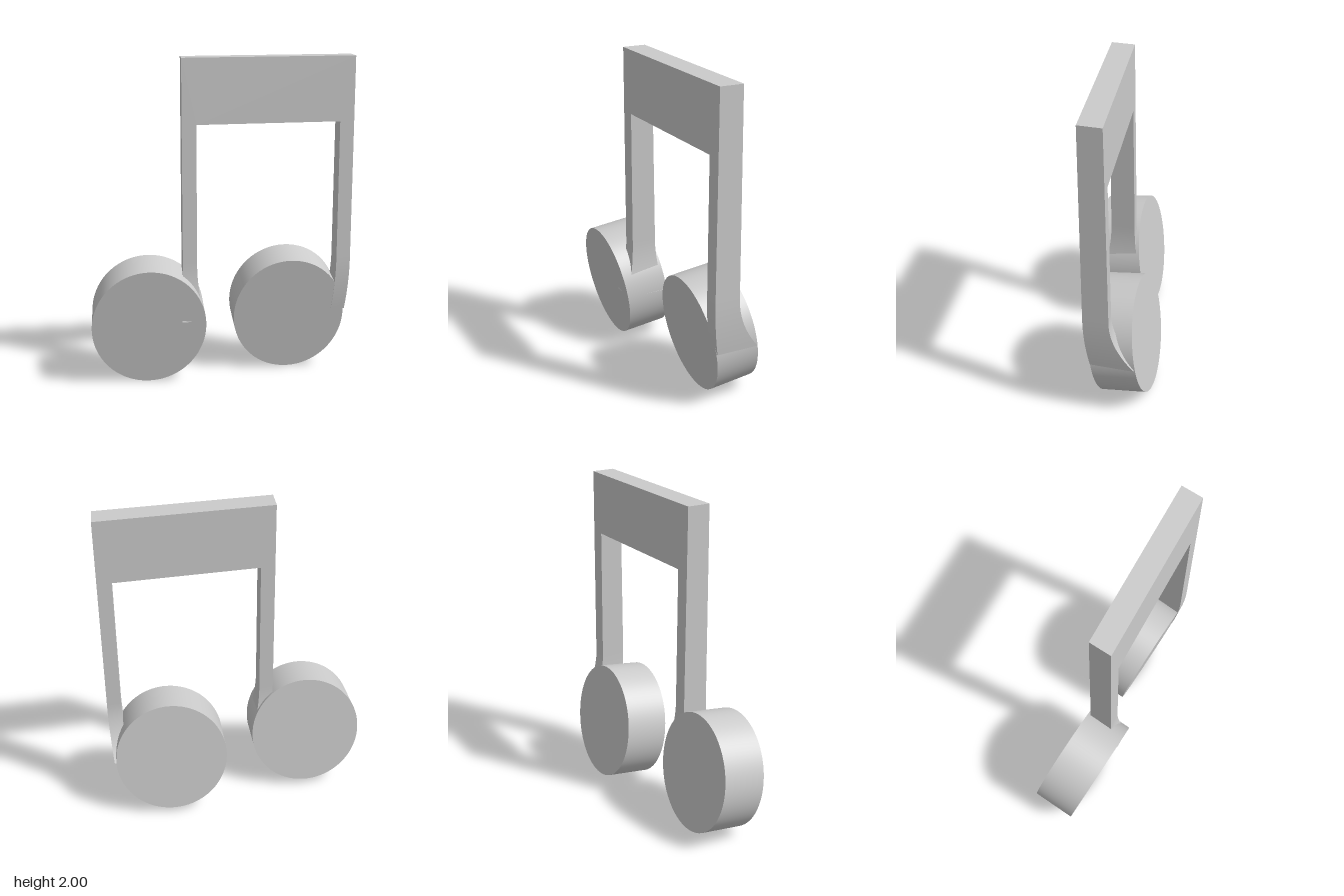
import * as THREE from 'three';

const material = new THREE.MeshStandardMaterial({ color: 0xcccccc });
const lerp = THREE.MathUtils.lerp;

function addMesh(group, name, geometry) {
  const mesh = new THREE.Mesh(geometry, material);
  mesh.name = name;
  group.add(mesh);
}

// Sideways lean shared by the frame and the stem bases
const lean = (x, z) => x - 0.09 * (z - 0.08);

// Moves every vertex of a geometry by a rule
function reshape(geometry, rule) {
  const p = geometry.attributes.position;
  for (let i = 0; i < p.count; i++) p.setXYZ(i, ...rule(p.getX(i), p.getY(i), p.getZ(i)));
  geometry.computeVertexNormals();
  return geometry;
}

// Beam and two stems in one outline
function frameGeometry() {
  const shape = new THREE.Shape([
    [-0.25, 2], [-0.25, 0.75], [-0.162, 0.75], [-0.162, 1.605],
    [0.722, 1.605], [0.722, 0.75], [0.81, 0.75], [0.81, 2],
  ].map(([x, y]) => new THREE.Vector2(x, y)));
  const g = new THREE.ExtrudeGeometry(shape, { depth: 1, bevelEnabled: false });
  return reshape(g, (x, y, t) => {
    const z = lerp(0.015 - 0.012 * (2 - y), 0.155, t);
    return [lean(x, z), y, z];
  });
}

// Tilted oval drum, given the centre of its front face
function headGeometry(x, y, z) {
  const rx = 0.349, ry = 0.367;
  const axis = new THREE.Vector3(-0.022, -0.035, 0.268);
  const matrix = new THREE.Matrix4().makeBasis(
    new THREE.Vector3(rx, 0, 0.07 * rx),
    axis,
    new THREE.Vector3(0, -ry, -0.148 * ry),
  );
  matrix.setPosition(new THREE.Vector3(x, y, z).addScaledVector(axis, -0.5));
  return new THREE.CylinderGeometry(1, 1, 1, 96).applyMatrix4(matrix);
}

// Stem foot flaring into the drum; top and bottom are [x0, x1, z0, z1]
function flareGeometry(top, bottom) {
  return reshape(new THREE.BoxGeometry(1, 1, 1, 1, 14, 1), (bx, by, bz) => {
    const t = 0.5 - by;
    const [x0, x1, z0, z1] = top.map((v, i) => lerp(v, bottom[i], t * t));
    const z = bz < 0 ? z0 : z1;
    return [lean(bx < 0 ? x0 : x1, z), lerp(0.75, 0.4, t), z];
  });
}

export function createModel() {
  const group = new THREE.Group();
  group.name = 'beamedNotes';
  addMesh(group, 'beamAndStems', frameGeometry());
  addMesh(group, 'rightNoteHead', headGeometry(-0.472, 0.372, 0.19));
  addMesh(group, 'leftNoteHead', headGeometry(0.427, 0.372, 0.095));
  addMesh(group, 'rightStemFlare',
    flareGeometry([-0.25, -0.162, 0, 0.155], [-0.26, -0.112, -0.05, 0.213]));
  addMesh(group, 'leftStemFlare',
    flareGeometry([0.722, 0.81, 0, 0.155], [0.7, 0.788, -0.143, 0.121]));
  return group;
}
